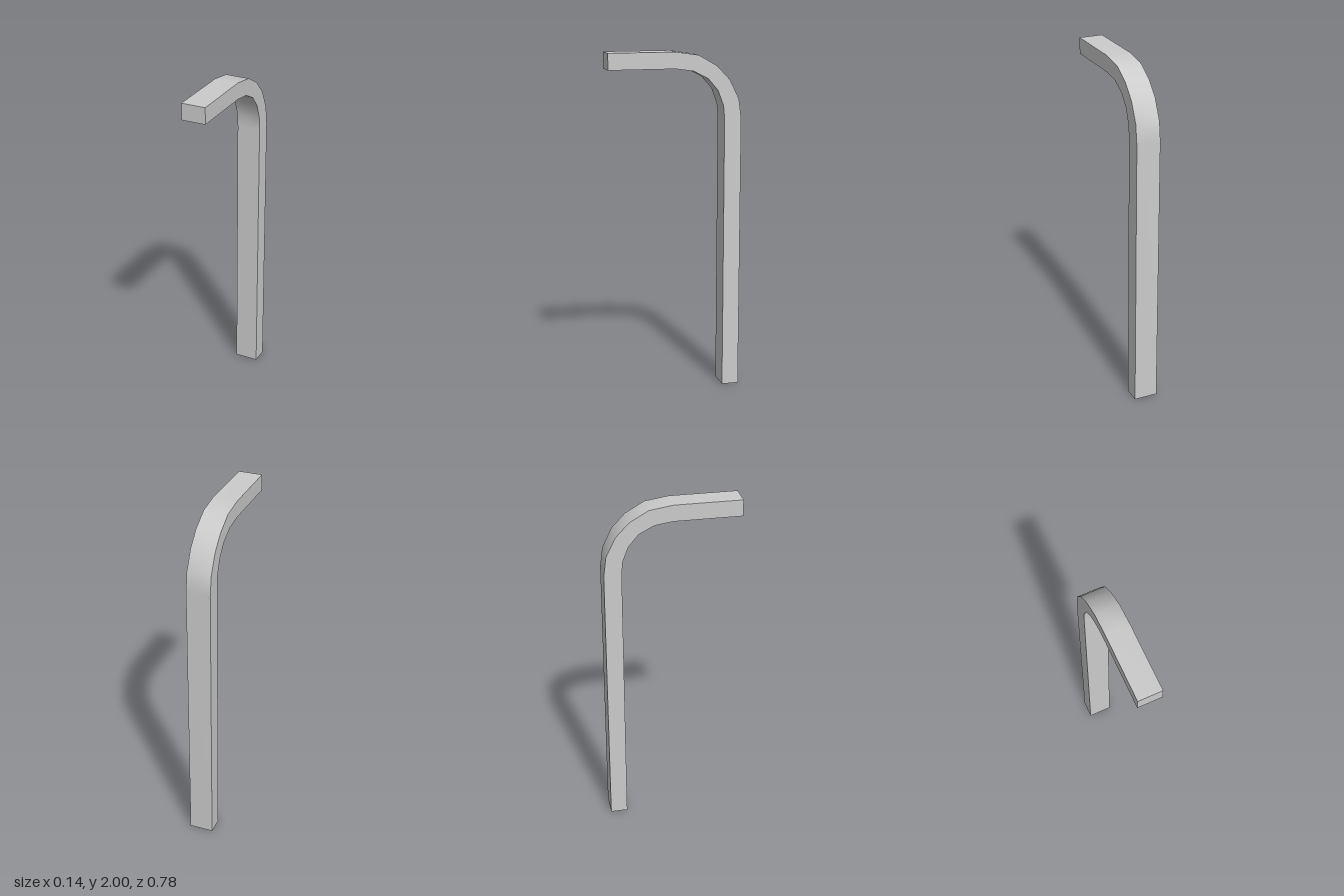
import * as THREE from 'three';

const HALF = 0.07;
// Cross-sections from foot to tip: outer [z, y], inner [z, y]
const SECTIONS = [
  [-0.39, 0, -0.29, 0],
  [-0.39, 1.61, -0.29, 1.61],
  [-0.375, 1.725, -0.283, 1.69],
  [-0.32, 1.837, -0.25, 1.777],
  [-0.243, 1.918, -0.192, 1.845],
  [-0.135, 1.98, -0.105, 1.89],
  [0, 2, 0, 1.905],
  [0.39, 2, 0.39, 1.905],
];

// Strip of quads between two rails; smooth along its length, sharp at its borders
function strip(railA, railB) {
  const pos = [], index = [];
  railA.forEach((p, i) => {
    pos.push(...p, ...railB[i]);
    if (i) {
      const a = 2 * (i - 1);
      index.push(a, a + 1, a + 2, a + 1, a + 3, a + 2);
    }
  });
  const g = new THREE.BufferGeometry();
  g.setAttribute('position', new THREE.Float32BufferAttribute(pos, 3));
  g.setIndex(index);
  g.computeVertexNormals();
  return g;
}

export function createModel() {
  const group = new THREE.Group();
  group.name = 'bentBar';
  const material = new THREE.MeshStandardMaterial({ color: 0xcccccc, side: THREE.DoubleSide });
  const add = (name, a, b) => {
    const mesh = new THREE.Mesh(strip(a, b), material);
    mesh.name = name;
    group.add(mesh);
  };

  const outer = (x) => SECTIONS.map(([z, y]) => [x, y, z]);
  const inner = (x) => SECTIONS.map(([, , z, y]) => [x, y, z]);
  const oL = outer(HALF), oR = outer(-HALF), iL = inner(HALF), iR = inner(-HALF);

  // Four long walls
  add('outerWall', oL, oR);
  add('innerWall', iR, iL);
  add('leftWall', iL, oL);
  add('rightWall', oR, iR);

  // Closed tip; the foot of the hollow bar stays open
  const n = SECTIONS.length - 1;
  add('tipCap', [iR[n], oR[n]], [iL[n], oL[n]]);
  return group;
}
